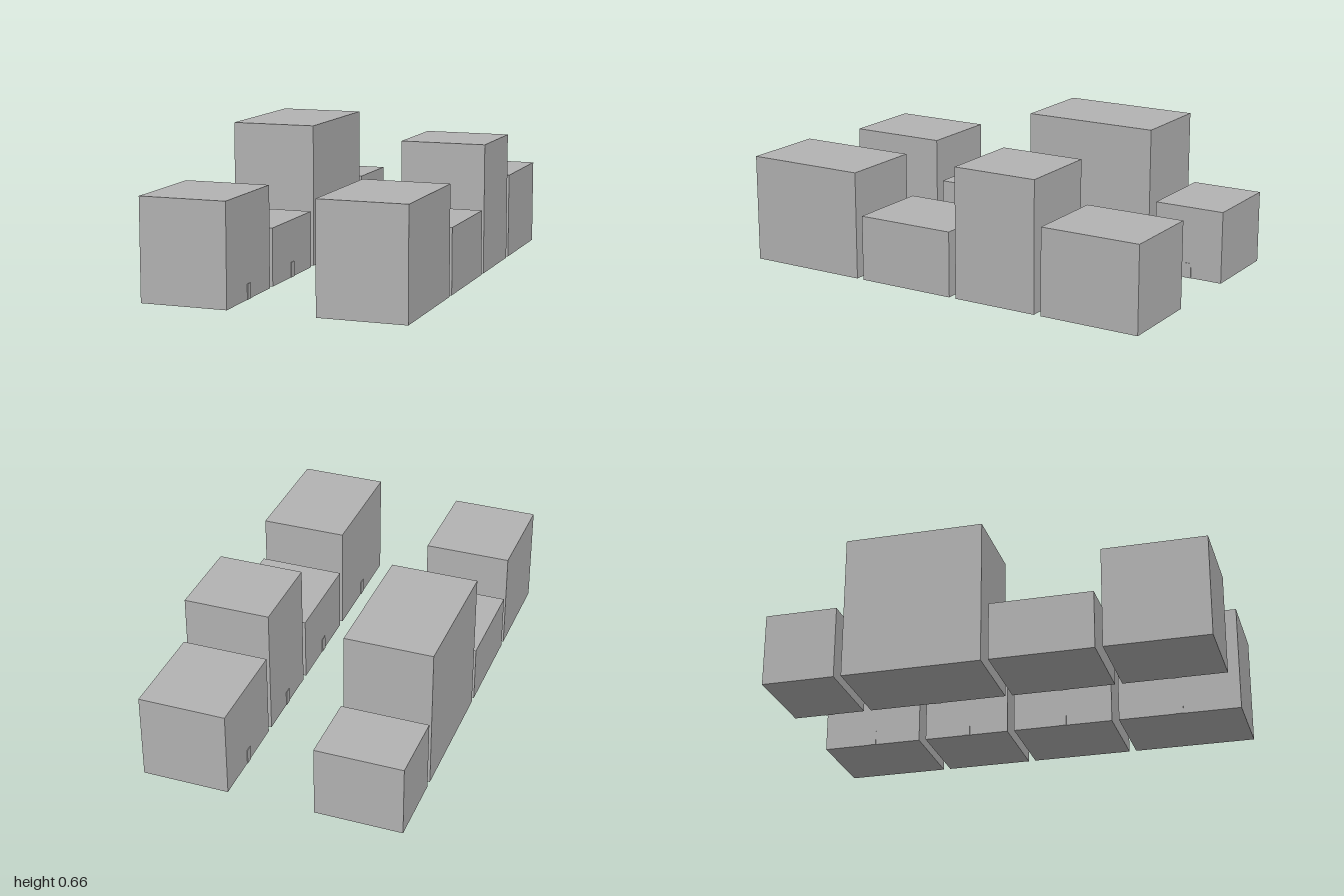
import * as THREE from 'three';

const grey = new THREE.MeshStandardMaterial({ color: 0xb3b3b3 });
grey.name = 'plain grey';

// Each building: [back z, front z, height]
const rows = {
  right: { side: -1, blocks: [[-1, -0.667, 0.333], [-0.633, 0, 0.663], [0.033, 0.5, 0.265], [0.533, 1, 0.463]] },
  left: { side: 1, blocks: [[-1, -0.533, 0.397], [-0.5, -0.1, 0.598], [-0.067, 0.4, 0.3], [0.433, 1, 0.496]] },
};

const INNER = 0.2, OUTER = 0.6;
const DOOR = { depth: 0.003, height: 0.07, width: 0.035 };

// Box standing on the ground
function standingBox(name, w, h, d, x, z) {
  const mesh = new THREE.Mesh(new THREE.BoxGeometry(w, h, d), grey);
  mesh.name = name;
  mesh.position.set(x, h / 2, z);
  return mesh;
}

export function createModel() {
  const model = new THREE.Group();
  model.name = 'streetOfBuildings';

  for (const [rowName, { side, blocks }] of Object.entries(rows)) {
    const row = new THREE.Group();
    row.name = `${rowName}Row`;
    blocks.forEach(([back, front, height], i) => {
      const building = new THREE.Group();
      building.name = `${rowName}Building${i + 1}`;
      const z = (back + front) / 2;
      // Plain block
      building.add(standingBox('walls', OUTER - INNER, height, front - back, side * (INNER + OUTER) / 2, z));
      // Thin door facing the street, centred on the inner wall
      building.add(standingBox('door', DOOR.depth, DOOR.height, DOOR.width, side * (INNER - DOOR.depth / 2), z));
      row.add(building);
    });
    model.add(row);
  }
  return model;
}
